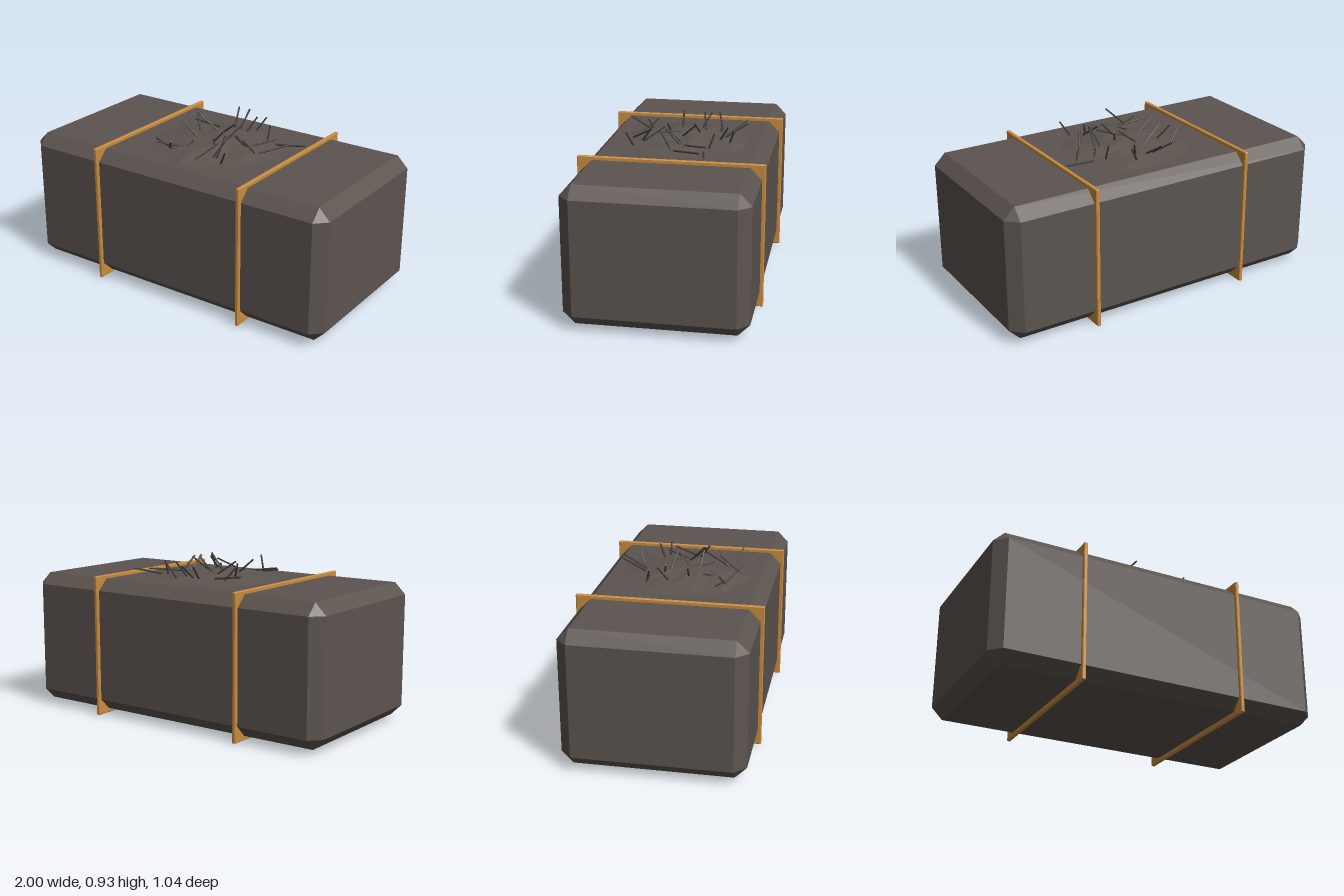
import * as THREE from 'three';
import { ConvexGeometry } from 'three/addons/geometries/ConvexGeometry.js';

const mat = (name, color) => {
  const m = new THREE.MeshStandardMaterial({ color });
  m.name = name;
  return m;
};

// Box with every edge and corner cut at 45 degrees
function chamferedBox(w, h, d, c) {
  const pts = [];
  for (const sx of [-1, 1]) for (const sy of [-1, 1]) for (const sz of [-1, 1]) {
    const x = w / 2, y = h / 2, z = d / 2;
    for (const [a, b, e] of [[x, y - c, z - c], [x - c, y, z - c], [x - c, y - c, z]]) {
      pts.push(new THREE.Vector3(sx * a, sy * b, sz * e));
    }
  }
  return new ConvexGeometry(pts);
}

// Irregular low heap: a shallow cone whose rings are pushed in and out
function moundGeometry() {
  const geo = new THREE.ConeGeometry(0.375, 0.05, 15, 3, true);
  const p = geo.attributes.position;
  for (let i = 0; i < p.count; i++) {
    const x = p.getX(i), z = p.getZ(i), y = p.getY(i) + 0.025;
    const a = Math.atan2(z, x), r = Math.hypot(x, z);
    const s = 1 + 0.05 * Math.sin(a * 5 + 1) + 0.04 * Math.cos(a * 7 + r * 20);
    const inner = r > 0.05 && r < 0.3 ? 1 : 0;
    const lump = inner * (0.007 * Math.sin(a * 4 + r * 30) + 0.013 * Math.exp(-((x + 0.06) ** 2 + (z - 0.2) ** 2) / 0.015));
    const top = r < 0.05 ? 0.043 : y;
    p.setXYZ(i, x * s, top + lump, z * s);
  }
  const flat = geo.toNonIndexed();
  flat.computeVertexNormals();
  return flat;
}

// Straws seen from above, in hundredths: base x, base z, tip x, tip z
const STRAWS = [
  [-4, -23, -9, -35], [0, -23, -2, -36], [6, -21, 10, -26], [9, -27, 14, -30],
  [-12, -19, -29, -17], [-19, -19, -26, -16], [-18, -7, -23, -12], [-7, -11, -19, -8],
  [-3, -8, 8, -6], [6, 1, 12, -8], [23, -17, 23, -20], [21, -2, 30, -16],
  [30, -15, 48, -18], [30, 2, 40, -14], [20, 0, 18, 9], [28, 4, 24, 10],
  [-12, 4, -22, 5], [-1, 3, 9, 16], [2, 8, 10, 9], [-5, 27, -9, 12],
  [-13, 25, -28, 22], [-7, 20, -24, 27], [-16, 25, -8, 34], [6, 30, 13, 18],
  [13, 23, 17, 17], [15, 22, 12, 10], [21, 27, 26, 30], [17, -1, 18, 8],
];

export function createModel() {
  const model = new THREE.Group();
  const baleMat = mat('dull brown bale', 0x5c544f);
  const strapMat = mat('ochre strap', 0xc98c3e);
  const strawMat = mat('dark straw', 0x45403c);

  const add = (name, geo, material, x, y, z, parent = model) => {
    const m = new THREE.Mesh(geo, material);
    m.name = name;
    m.position.set(x, y, z);
    parent.add(m);
    return m;
  };

  // Bale body
  const TOP = 0.802;
  add('bale', chamferedBox(2, 0.776, 1, 0.065), baleMat, 0, 0.414, 0);

  // Flat bands around the bale
  const strapGeo = chamferedBox(0.022, 0.822, 1.04, 0.004);
  for (const s of [-1, 1]) add(s > 0 ? 'leftStrap' : 'rightStrap', strapGeo, strapMat, s * 0.49, 0.411, 0);

  // Loose heap on top
  add('mound', moundGeometry(), baleMat, 0, TOP, 0);

  // Stray straws, the ones short in plan standing steeper
  const straws = new THREE.Group();
  straws.name = 'straws';
  model.add(straws);
  const up = new THREE.Vector3(0, 1, 0);
  for (const q of STRAWS) {
    const [bx, bz, tx, tz] = q.map((v) => v / 100);
    const plan = Math.hypot(tx - bx, tz - bz);
    const rise = THREE.MathUtils.clamp(Math.sqrt(Math.max(0, 0.155 ** 2 - plan ** 2)), 0.02, 0.085);
    const baseY = TOP + 0.01 + 0.03 * Math.max(0, 1 - Math.hypot(bx, bz) / 0.37);
    const a = new THREE.Vector3(bx, baseY, bz), b = new THREE.Vector3(tx, baseY + rise, tz);
    const dir = b.clone().sub(a), mid = a.clone().add(b).multiplyScalar(0.5);
    const m = add('straw', new THREE.CylinderGeometry(0.005, 0.006, dir.length(), 5), strawMat, mid.x, mid.y, mid.z, straws);
    m.quaternion.setFromUnitVectors(up, dir.normalize());
  }
  return model;
}
